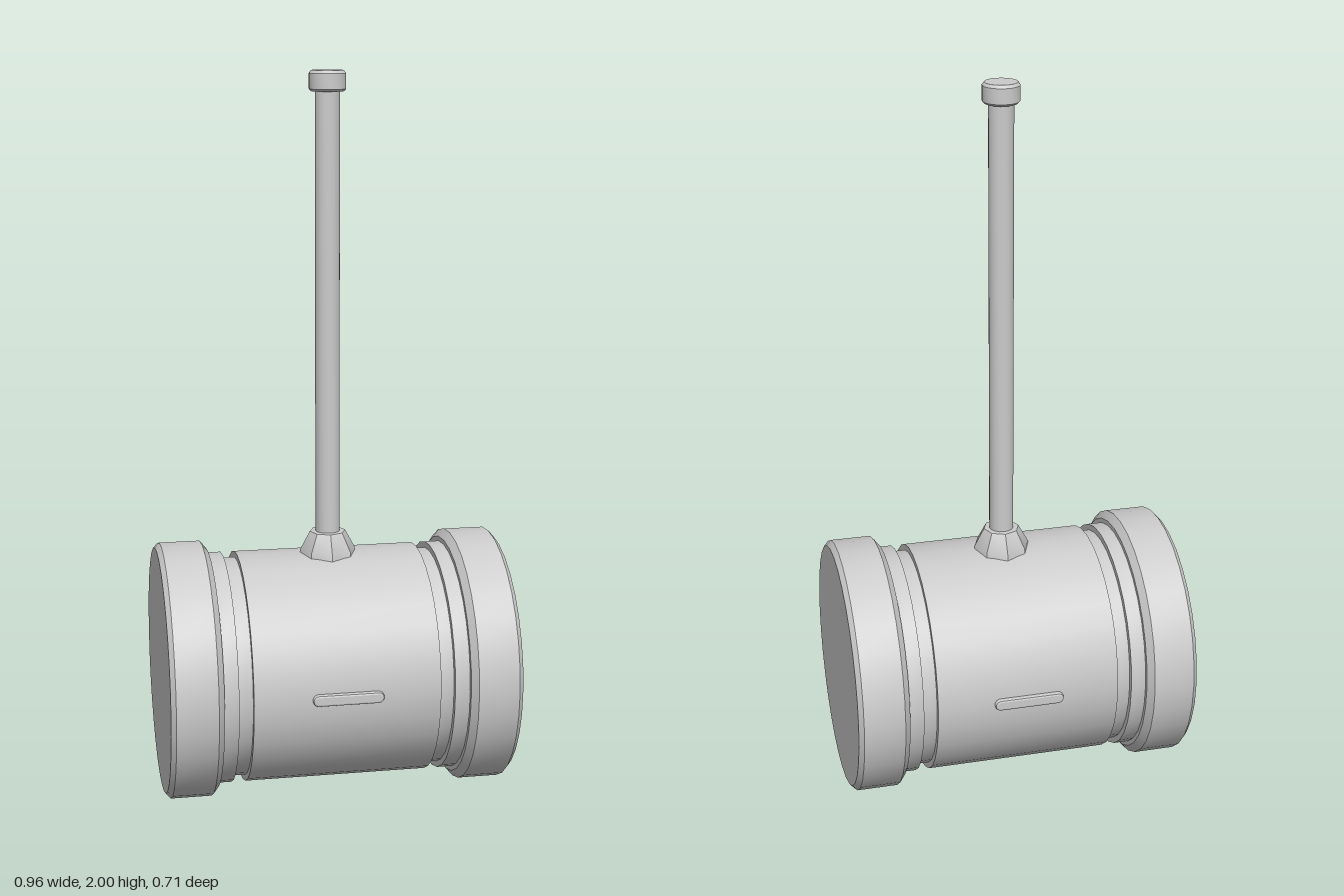
import * as THREE from 'three';
import { toCreasedNormals } from 'three/addons/utils/BufferGeometryUtils.js';

const material = new THREE.MeshStandardMaterial({ color: 0xcccccc });

// Turned part about y from [radius, height] pairs, listed bottom to top
function turned(name, profile, segments) {
  const points = profile.map(([r, y]) => new THREE.Vector2(r, y));
  const geometry = toCreasedNormals(new THREE.LatheGeometry(points, segments), 0.5);
  const mesh = new THREE.Mesh(geometry, material);
  mesh.name = name;
  return mesh;
}

export function createModel() {
  const hammer = new THREE.Group();
  hammer.name = 'mallet';
  const axisY = 0.356;

  // Head: half profile from the middle out to the striking face, mirrored
  const half = [
    [0.322, 0.255], [0.305, 0.255], [0.305, 0.294], [0.322, 0.294],
    [0.322, 0.335], [0.335, 0.335], [0.356, 0.352], [0.356, 0.465],
    [0.342, 0.478], [0, 0.478],
  ];
  const mirrored = half.map(([r, y]) => [r, -y]).reverse();
  const head = turned('head', [...mirrored, ...half], 32);
  head.rotation.z = -Math.PI / 2;
  head.position.y = axisY;
  hammer.add(head);

  // Octagonal collar where the handle enters the head
  hammer.add(turned('collar', [
    [0, 0.64], [0.078, 0.64], [0.078, 0.685], [0.05, 0.737], [0, 0.74],
  ], 8));

  // Handle and its end cap
  hammer.add(turned('handle', [[0, 0.65], [0.034, 0.65], [0.034, 1.96], [0, 1.96]], 16));
  hammer.add(turned('handleCap', [
    [0, 1.945], [0.044, 1.945], [0.05, 1.951], [0.05, 1.992], [0.044, 2], [0, 2],
  ], 20));

  // Rounded raised bar on the front and back of the head
  const bevel = 0.006, r = 0.016 - bevel, reach = 0.097 - bevel - r;
  const pill = new THREE.Shape();
  pill.absarc(reach, 0, r, -Math.PI / 2, Math.PI / 2, false);
  pill.absarc(-reach, 0, r, Math.PI / 2, Math.PI * 1.5, false);
  const barGeometry = new THREE.ExtrudeGeometry(pill, {
    depth: 0.03, bevelSize: bevel, bevelThickness: bevel, bevelSegments: 2, curveSegments: 6,
  });
  for (const side of [1, -1]) {
    const bar = new THREE.Mesh(barGeometry, material);
    bar.name = side > 0 ? 'frontBar' : 'backBar';
    bar.position.set(0, axisY + 0.003, side * 0.297);
    if (side < 0) bar.rotation.y = Math.PI;
    hammer.add(bar);
  }
  return hammer;
}
